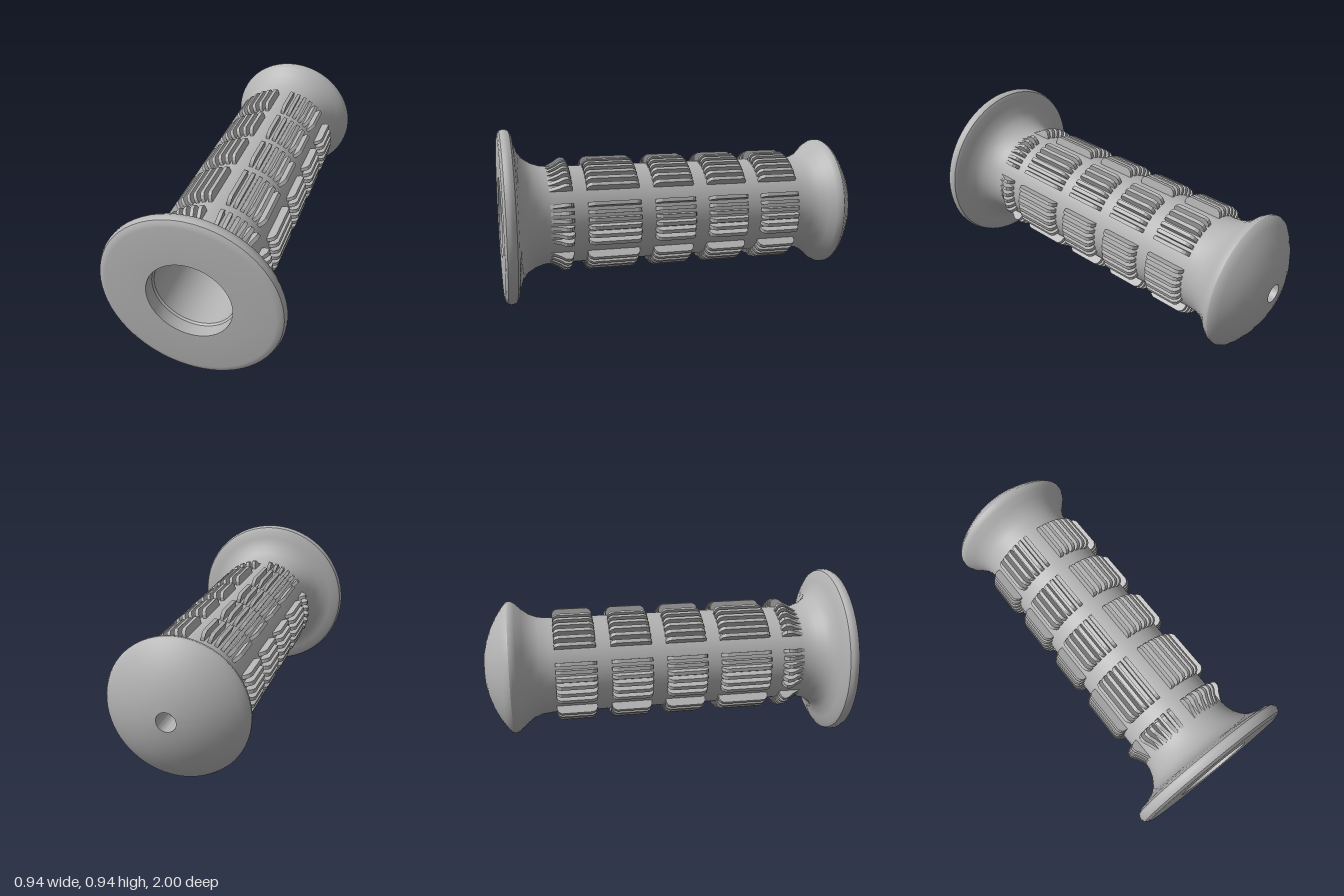
import * as THREE from 'three';
import { mergeGeometries, toCreasedNormals } from 'three/addons/utils/BufferGeometryUtils.js';

const AXIS_HEIGHT = 0.472;
const rubber = new THREE.MeshStandardMaterial({ name: 'grey rubber', color: 0xb4b4b4 });

// Turns a [radius, z] profile around the z axis
function turned(profile, name) {
  const points = profile.map(([r, z]) => new THREE.Vector2(r, z));
  const geometry = new THREE.LatheGeometry(points, 64).rotateX(Math.PI / 2);
  const mesh = new THREE.Mesh(toCreasedNormals(geometry, 0.5), rubber);
  mesh.name = name;
  return mesh;
}

// Six groups of six ribs around the axis, from one [z, radius] side profile
function ribRow(profile, name) {
  const width = 0.02;
  const shape = new THREE.Shape(profile.map(([z, r]) => new THREE.Vector2(z, r)));
  const rib = new THREE.ExtrudeGeometry(shape, { depth: width, bevelEnabled: false })
    .translate(0, 0, -width / 2)
    .rotateY(-Math.PI / 2);
  const ribs = [];
  for (let group = 0; group < 6; group++) {
    for (let i = 0; i < 6; i++) {
      const degrees = group * 60 + 10 + i * 8;
      ribs.push(rib.clone().rotateZ(THREE.MathUtils.degToRad(degrees)));
    }
  }
  const mesh = new THREE.Mesh(mergeGeometries(ribs), rubber);
  mesh.name = name;
  return mesh;
}

export function createModel() {
  const grip = new THREE.Group();
  grip.name = 'handlebarGrip';
  const core = new THREE.Group();
  core.name = 'gripCore';
  core.position.y = AXIS_HEIGHT;
  grip.add(core);

  // Hollow sleeve: domed end, neck, barrel, flange, stepped bore
  core.add(turned([
    [0.05, -1], [0.1, -0.994], [0.16, -0.979], [0.22, -0.957], [0.28, -0.927],
    [0.33, -0.893], [0.358, -0.87], [0.366, -0.855], [0.365, -0.84], [0.352, -0.818],
    [0.32, -0.785], [0.29, -0.745], [0.272, -0.7], [0.265, -0.64],
    [0.265, 0.74], [0.27, 0.785], [0.285, 0.83], [0.31, 0.868], [0.345, 0.897],
    [0.4, 0.917], [0.445, 0.927], [0.464, 0.938], [0.472, 0.955], [0.472, 0.97],
    [0.464, 0.988], [0.45, 0.996], [0.43, 1],
    [0.219, 1], [0.219, 0.93], [0.211, 0.92], [0.211, -0.86],
    [0.05, -0.86], [0.05, -1],
  ], 'sleeve'));

  // Four rows of straight ribs with chamfered ends
  [[-0.62, -0.4], [-0.32, -0.1], [-0.02, 0.2], [0.28, 0.56]].forEach(([back, front], i) => {
    core.add(ribRow([
      [back, 0.25], [front, 0.25], [front, 0.285], [front - 0.008, 0.302],
      [front - 0.025, 0.312], [back + 0.025, 0.312], [back + 0.008, 0.302], [back, 0.285],
    ], `ribRow${i + 1}`));
  });

  // Short ribs that slope down towards the flange
  core.add(ribRow([
    [0.635, 0.25], [0.755, 0.25], [0.755, 0.267], [0.735, 0.275], [0.705, 0.291],
    [0.682, 0.308], [0.668, 0.312], [0.652, 0.31], [0.642, 0.3], [0.635, 0.28],
  ], 'shortRibRow'));

  return grip;
}
